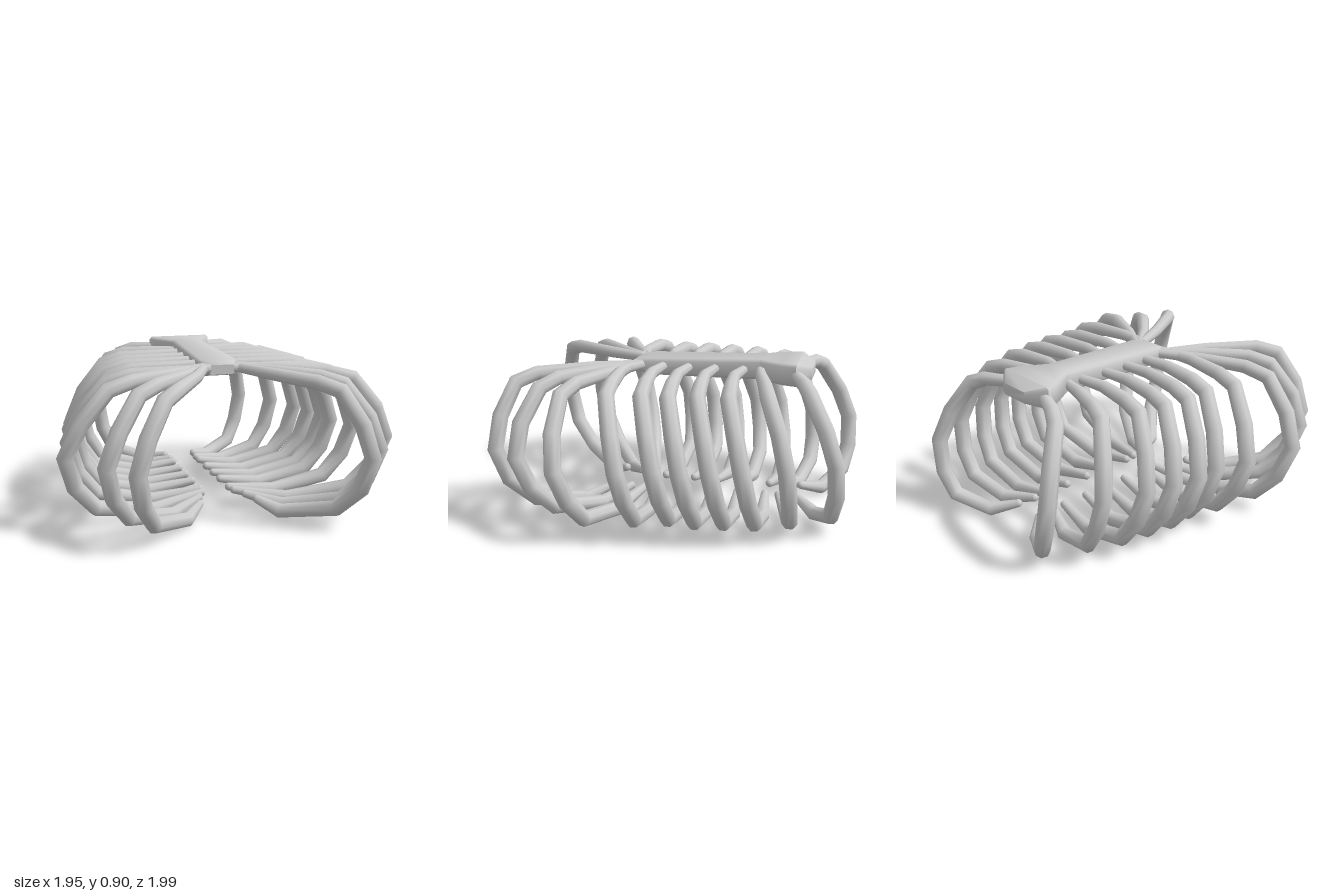
import * as THREE from 'three';
import { toCreasedNormals } from 'three/addons/utils/BufferGeometryUtils.js';

const material = new THREE.MeshStandardMaterial({ color: 0xcccccc });

// Shared front profile of a rib: x as a share of its reach, height, thickness
const REACH = [0, 0.33, 0.6, 0.75, 0.91, 1, 0.94, 0.81, 0.43, 0];
const HEIGHT = [0.835, 0.83, 0.82, 0.785, 0.61, 0.43, 0.25, 0.11, 0.045, 0.09];
const RADIUS = [0.026, 0.035, 0.042, 0.046, 0.048, 0.048, 0.048, 0.046, 0.042, 0.024];

// Middle ribs share one backward sweep, placed at different z
const SWEEP = [0.13, 0.16, 0.14, 0.13, 0.07, 0.02, -0.01, -0.03, -0.03, -0.01];
const middle = (reach, z) => ({ reach, end: 0.09, z: SWEEP.map((s) => s + z) });

const RIBS = [
  { reach: 0.505, end: 0.1, z: [-0.64, -0.68, -0.74, -0.78, -0.88, -0.945, -0.95, -0.92, -0.81, -0.7] },
  { reach: 0.655, end: 0.09, z: [-0.46, -0.49, -0.54, -0.57, -0.65, -0.7, -0.715, -0.71, -0.665, -0.59] },
  middle(0.745, -0.5),
  middle(0.78, -0.335),
  middle(0.81, -0.18),
  middle(0.8, -0.03),
  middle(0.865, 0.15),
  { reach: 0.925, end: 0.1, z: [0.22, 0.36, 0.48, 0.52, 0.52, 0.49, 0.44, 0.39, 0.3, 0.21] },
  { reach: 0.755, end: 0.14, z: [0.22, 0.43, 0.62, 0.69, 0.76, 0.77, 0.71, 0.61, 0.42, 0.3] },
  { reach: 0.63, end: 0.17, z: [0.2, 0.5, 0.78, 0.87, 0.93, 0.945, 0.89, 0.76, 0.53, 0.42] },
];

// Tapered tube with one ring of eight sides at each profile point
function makeRib({ reach, end, z }, side, name) {
  const last = z.length - 1;
  const points = z.map((pz, i) => {
    const x = i === 0 ? 0.07 : i === last ? end : REACH[i] * reach;
    return new THREE.Vector3(side * x, HEIGHT[i], pz);
  });
  const curve = new THREE.CatmullRomCurve3(points);
  curve.getUtoTmapping = (u) => u; // rings fall on the points themselves
  const sides = 8;
  const geometry = new THREE.TubeGeometry(curve, last, 1, sides);
  const pos = geometry.attributes.position;
  const v = new THREE.Vector3();
  for (let i = 0; i < pos.count; i++) {
    const ring = Math.floor(i / (sides + 1));
    v.fromBufferAttribute(pos, i).sub(points[ring]).multiplyScalar(RADIUS[ring]).add(points[ring]);
    pos.setXYZ(i, v.x, v.y, v.z);
  }
  const group = new THREE.Group();
  group.name = name;
  const shaft = new THREE.Mesh(geometry, material);
  shaft.name = 'ribShaft';
  const tip = new THREE.Mesh(new THREE.SphereGeometry(RADIUS[last], 8, 6), material);
  tip.name = 'ribTip';
  tip.position.copy(points[last]);
  group.add(shaft, tip);
  return group;
}

// Breastbone: bevelled cross-sections lofted along z
function makeBreastbone() {
  // z, half width, bottom, top
  const sections = [
    [-0.76, 0.1, 0.8, 0.865], [-0.68, 0.198, 0.775, 0.9], [-0.6, 0.175, 0.775, 0.9],
    [-0.46, 0.093, 0.78, 0.9], [0.2, 0.115, 0.78, 0.875], [0.29, 0.08, 0.8, 0.855],
  ];
  const c = 0.015;
  const vertices = [];
  const index = [];
  for (const [z, w, b, t] of sections) {
    const ring = [[w - c, b], [w, b + c], [w, t - c], [w - c, t], [c - w, t], [-w, t - c], [-w, b + c], [c - w, b]];
    for (const [x, y] of ring) vertices.push(x, y, z);
  }
  const n = 8;
  for (let s = 0; s < sections.length - 1; s++) {
    for (let i = 0; i < n; i++) {
      const a = s * n + i;
      const b = s * n + ((i + 1) % n);
      index.push(a, b, a + n, b, b + n, a + n);
    }
  }
  // End faces
  const front = (sections.length - 1) * n;
  for (let i = 1; i < n - 1; i++) {
    index.push(0, i + 1, i, front, front + i, front + i + 1);
  }
  const geometry = new THREE.BufferGeometry();
  geometry.setAttribute('position', new THREE.Float32BufferAttribute(vertices, 3));
  geometry.setIndex(index);
  const mesh = new THREE.Mesh(toCreasedNormals(geometry, 0.9), material);
  mesh.name = 'breastbone';
  return mesh;
}

export function createModel() {
  const model = new THREE.Group();
  model.name = 'ribCage';
  model.add(makeBreastbone());
  RIBS.forEach((rib, i) => {
    model.add(makeRib(rib, 1, `leftRib${i + 1}`), makeRib(rib, -1, `rightRib${i + 1}`));
  });
  return model;
}
